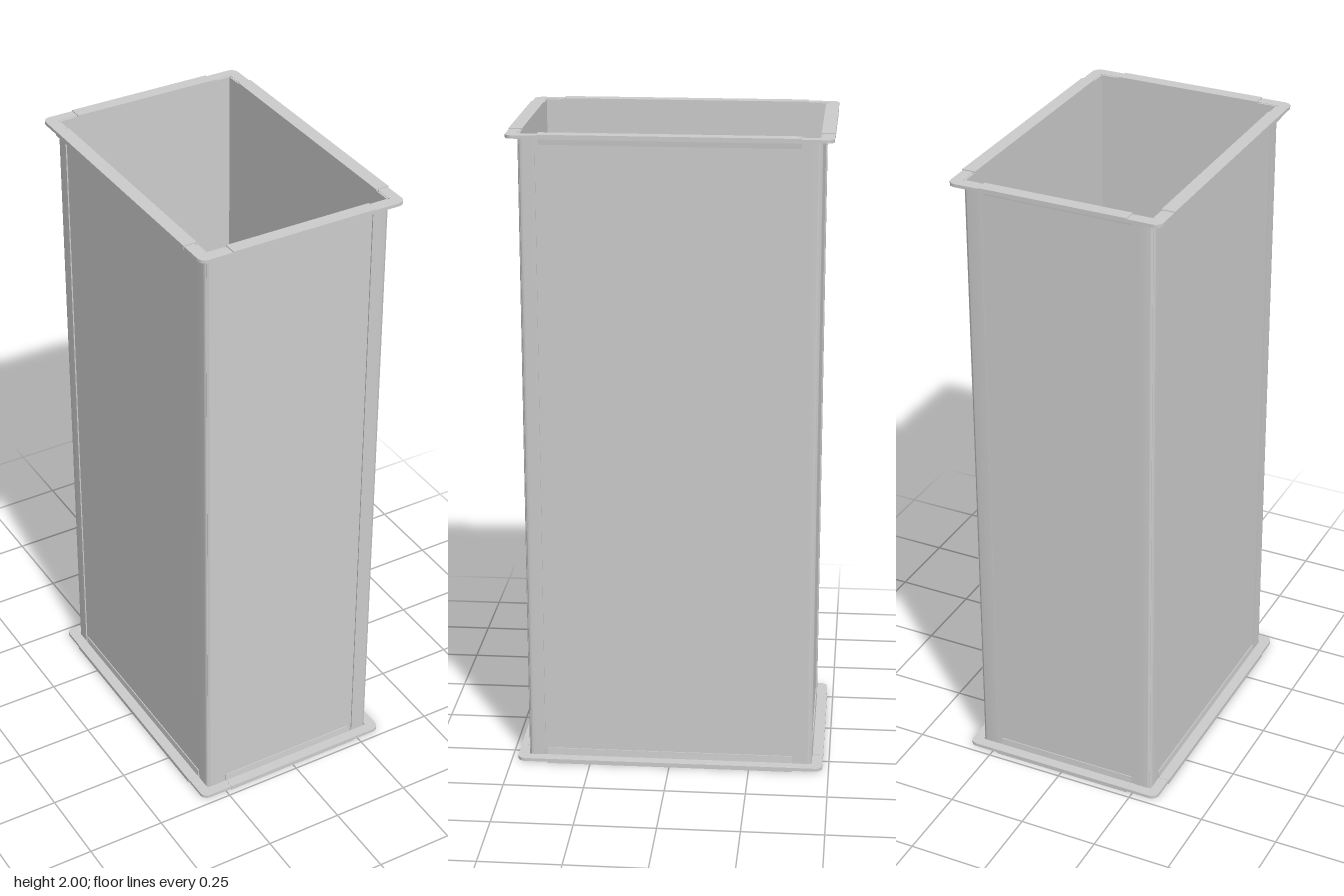
import * as THREE from 'three';
import { toCreasedNormals } from 'three/addons/utils/BufferGeometryUtils.js';

const H = 2;              // duct height
const X = 0.293, Z = 0.44; // inner half sizes of the duct

export function createModel() {
  const group = new THREE.Group();
  group.name = 'ductSection';
  const material = new THREE.MeshStandardMaterial({ color: 0xcccccc, side: THREE.DoubleSide });

  const add = (name, geometry) => {
    const mesh = new THREE.Mesh(toCreasedNormals(geometry, 0.6), material);
    mesh.name = name;
    group.add(mesh);
    return mesh;
  };

  // Extrude a plan shape (x, -z) upward from y0 to y1
  const extrudeUp = (shape, y0, y1) =>
    new THREE.ExtrudeGeometry(shape, { depth: y1 - y0, bevelEnabled: false, curveSegments: 8 })
      .rotateX(-Math.PI / 2).translate(0, y0, 0);

  const rectangle = (path, x, z) => {
    path.moveTo(-x, -z);
    path.lineTo(x, -z);
    path.lineTo(x, z);
    path.lineTo(-x, z);
    path.closePath();
    return path;
  };

  // Angle in plan: outer corner (xo, zo) rounded by r, thickness t, arms ending at xa and za
  const angle = (sx, sz, xo, zo, t, xa, za, r) => {
    const s = new THREE.Shape();
    const p = (x, z) => [sx * x, -sz * z];
    s.moveTo(...p(xa, zo));
    s.lineTo(...p(xo - r, zo));
    s.bezierCurveTo(...p(xo - r * 0.45, zo), ...p(xo, zo - r * 0.45), ...p(xo, zo - r));
    s.lineTo(...p(xo, za));
    s.lineTo(...p(xo - t, za));
    s.lineTo(...p(xo - t, zo - t));
    s.lineTo(...p(xa, zo - t));
    s.closePath();
    return s;
  };

  // Four sheet walls, open at both ends
  const walls = rectangle(new THREE.Shape(), X + 0.003, Z + 0.003);
  walls.holes.push(rectangle(new THREE.Path(), X, Z));
  add('ductWalls', extrudeUp(walls, 0.004, H - 0.004));

  for (const sx of [-1, 1]) {
    for (const sz of [-1, 1]) {
      // Full-height angle strips folded round the corners
      add('cornerStrip', extrudeUp(
        angle(sx, sz, X + 0.007, Z + 0.007, 0.005, 0.245, 0.395, 0.015), 0.004, H - 0.004));

      // Rounded flange corners at both ends
      for (const y of [0.003, H - 0.013])
        add('flangeCorner', extrudeUp(
          angle(sx, sz, 0.333, 0.48, 0.034, 0.225, 0.375, 0.024), y, y + 0.01));
    }
  }

  // Flange rails: a flat plate with a lip lying against the wall
  const rail = (name, halfLength, wall, outer, turn, top) => {
    const s = new THREE.Shape();
    [[wall, 0], [outer, 0], [outer, -0.014], [wall + 0.008, -0.014],
      [wall + 0.006, -0.036], [wall, -0.036]]
      .forEach(([d, y], i) => (i ? s.lineTo(d, y) : s.moveTo(d, y)));
    s.closePath();
    const geometry = new THREE.ExtrudeGeometry(s, { depth: 2 * halfLength, bevelEnabled: false })
      .translate(0, 0, -halfLength);
    // Half turn about the outward axis puts the lip above the plate at the bottom
    if (!top) geometry.rotateX(Math.PI);
    geometry.rotateY(turn);
    geometry.translate(0, top ? H : 0, 0);
    add(name, geometry);
  };

  for (const top of [true, false]) {
    const end = top ? 'top' : 'bottom';
    rail(end + 'LeftRail', 0.385, X, 0.335, 0, top);
    rail(end + 'RightRail', 0.385, X, 0.335, Math.PI, top);
    rail(end + 'FrontRail', 0.232, Z, 0.481, -Math.PI / 2, top);
    rail(end + 'BackRail', 0.232, Z, 0.481, Math.PI / 2, top);
  }
  return group;
}
